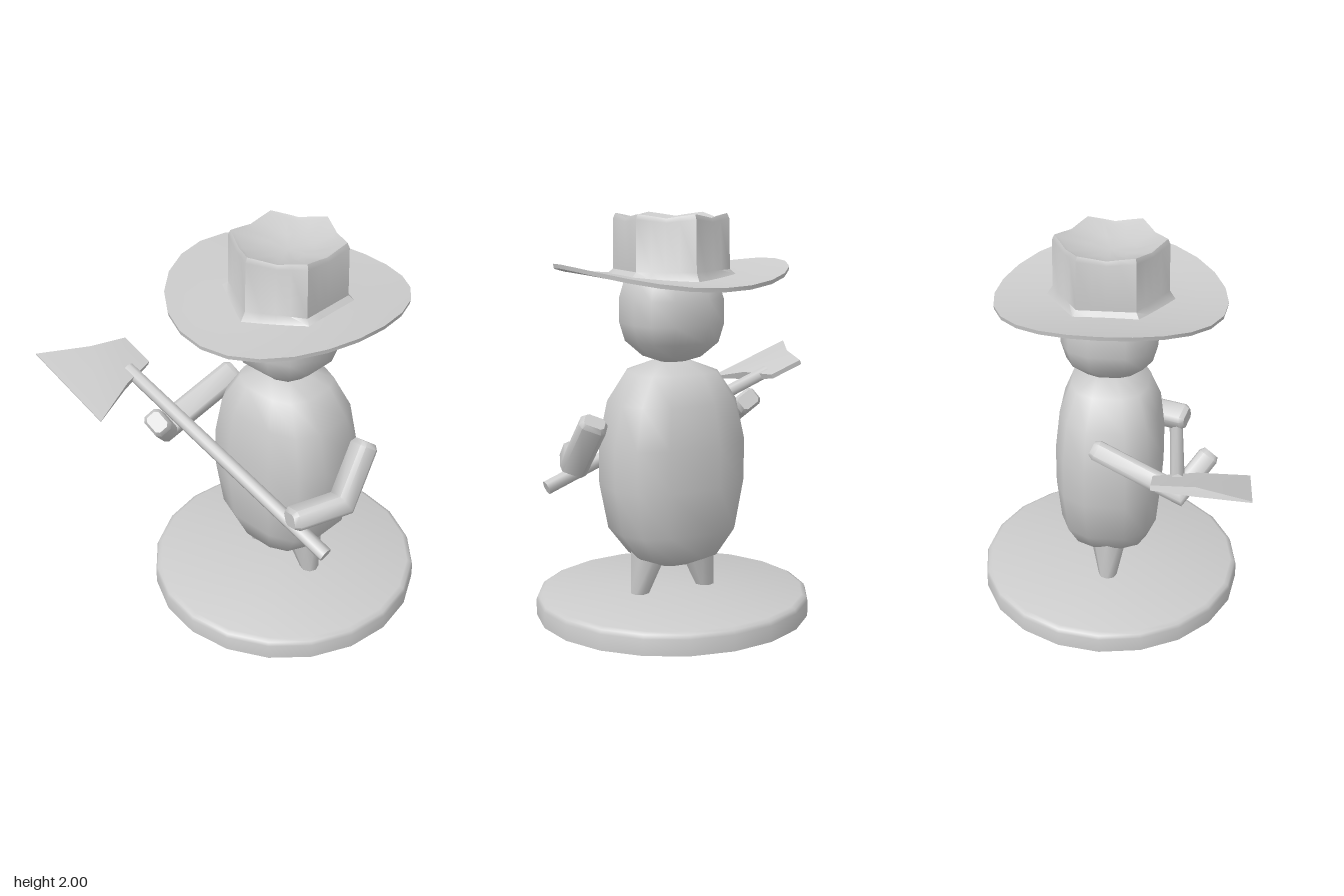
import * as THREE from 'three';
import { toCreasedNormals } from 'three/addons/utils/BufferGeometryUtils.js';

const V = (x, y, z) => new THREE.Vector3(x, y, z);
const solid = new THREE.MeshStandardMaterial({ color: 0xcccccc });
const shell = new THREE.MeshStandardMaterial({ color: 0xcccccc, side: THREE.DoubleSide });
const CX = 0.172, CZ = -0.015;

function add(parent, name, geometry, material = solid) {
  const mesh = new THREE.Mesh(geometry, material);
  mesh.name = name;
  parent.add(mesh);
  return mesh;
}

// Skin a stack of rings; start and end are optional cap centres
function loft(rings, start, end, crease) {
  const n = rings[0].length, pts = rings.flat(), index = [];
  for (let i = 0; i < rings.length - 1; i++) {
    for (let j = 0; j < n; j++) {
      const a = i * n + j, b = i * n + (j + 1) % n;
      index.push(a, a + n, b + n, a, b + n, b);
    }
  }
  const last = (rings.length - 1) * n;
  if (start) {
    const c = pts.push(start) - 1;
    for (let j = 0; j < n; j++) index.push(c, j, (j + 1) % n);
  }
  if (end) {
    const c = pts.push(end) - 1;
    for (let j = 0; j < n; j++) index.push(c, last + (j + 1) % n, last + j);
  }
  const g = new THREE.BufferGeometry().setFromPoints(pts);
  g.setIndex(index);
  g.computeVertexNormals();
  return toCreasedNormals(g, crease);
}

// Softened square outline for body and head, 12 points
const softSquare = [];
for (let q = 0; q < 4; q++) {
  const c = [1, 0, -1, 0][q], s = [0, 1, 0, -1][q];
  for (const [x, z] of [[1, -0.38], [1, 0.38], [0.8, 0.8]]) softSquare.push([x * c - z * s, x * s + z * c]);
}

// Rounded blob from [y, half width, half depth] levels
function blob(levels) {
  const rings = levels.map(([y, rx, rz]) => softSquare.map(([x, z]) => V(x * rx, y, z * rz)));
  return loft(rings, V(0, levels[0][0], 0), V(0, levels.at(-1)[0], 0), 1.0);
}

// Straight tapered stick between two points
function stick(a, b, ra, rb, sides) {
  const g = new THREE.CylinderGeometry(rb, ra, a.distanceTo(b), sides);
  g.applyQuaternion(new THREE.Quaternion().setFromUnitVectors(V(0, 1, 0), b.clone().sub(a).normalize()));
  const m = a.clone().add(b).multiplyScalar(0.5);
  g.translate(m.x, m.y, m.z);
  return toCreasedNormals(g, 1.1);
}

// Bent arm with a bevelled box section, mitred at the elbow
function arm(shoulder, elbow, hand, w, t) {
  const d1 = elbow.clone().sub(shoulder).normalize(), d2 = hand.clone().sub(elbow).normalize();
  const n = d1.clone().cross(d2).normalize();
  const mid = d1.clone().add(d2).normalize();
  const miter = 1 / mid.dot(d1);
  const section = (p, d, k, m = 1) => {
    const v = n.clone().cross(d);
    return [[1, -0.6], [1, 0.6], [0.7, 1], [-0.7, 1], [-1, 0.6], [-1, -0.6], [-0.7, -1], [0.7, -1]].map(
      ([a, b]) => p.clone().addScaledVector(n, a * w * k).addScaledVector(v, b * t * k * m));
  };
  const s = shoulder.clone().addScaledVector(d1, 0.025), h = hand.clone().addScaledVector(d2, -0.025);
  return loft([section(shoulder, d1, 0.75), section(s, d1, 1), section(elbow, mid, 1, miter),
    section(h, d2, 1), section(hand, d2, 0.75)], shoulder, hand, 0.85);
}

// Hat: curled round brim flowing into an open hexagonal crown with a dished top
function hatGeometry() {
  const N = 24;
  const ring = (r, y, hex, curl, dip = 0) => Array.from({ length: N }, (_, j) => {
    const a = j / N * Math.PI * 2;
    const off = ((a + Math.PI / 6) % (Math.PI / 3)) - Math.PI / 6; // angle from a face centre
    const k = hex ? r * Math.cos(Math.PI / 6) / Math.cos(off) : r;
    const x = Math.cos(a) * k, z = Math.sin(a) * k;
    return V(x, y + curl * (0.19 * x * x - 0.08 * z * z) - dip * (1 - Math.abs(off) * 6 / Math.PI), z);
  });
  return loft([
    ring(0.27, 1.672, true, 1), ring(0.42, 1.675, false, 1), ring(0.572, 1.685, false, 1),
    ring(0.575, 1.705, false, 1), ring(0.42, 1.695, false, 1), ring(0.315, 1.695, true, 1),
    ring(0.287, 1.73, true, 0), ring(0.283, 1.975, true, 0, 0.015), ring(0.272, 2.0, true, 0, 0.02),
    ring(0.25, 1.99, true, 0, 0.02), ring(0.13, 1.95, true, 0),
  ], null, V(0, 1.935, 0), 0.7);
}

export function createModel() {
  const model = new THREE.Group();
  model.name = 'standingFigure';
  const core = new THREE.Group();
  core.name = 'figureCore';
  core.position.set(CX, 0, CZ);
  model.add(core);

  // Hollow round stand
  const profile = [[0.69, 0], [0.69, 0.08], [0.682, 0.1], [0.66, 0.11], [0, 0.11]];
  const stand = new THREE.LatheGeometry(profile.map(([x, y]) => new THREE.Vector2(x, y)), 20);
  add(core, 'stand', toCreasedNormals(stand, 0.9), shell);

  // Legs
  for (const side of [-1, 1]) {
    add(core, side > 0 ? 'leftLeg' : 'rightLeg',
      stick(V(side * 0.186, 0.1, 0), V(side * 0.125, 0.36, 0), 0.046, 0.105, 8));
  }

  // Body and head
  add(core, 'body', blob([[0.25, 0.09, 0.085], [0.305, 0.21, 0.2], [0.44, 0.31, 0.25], [0.67, 0.352, 0.272],
    [0.88, 0.352, 0.272], [1.085, 0.308, 0.25], [1.23, 0.215, 0.195], [1.28, 0.09, 0.08]]));
  add(core, 'head', blob([[1.28, 0.065, 0.065], [1.305, 0.135, 0.135], [1.38, 0.215, 0.215], [1.47, 0.24, 0.24],
    [1.59, 0.24, 0.24], [1.68, 0.215, 0.215], [1.755, 0.135, 0.135], [1.78, 0.065, 0.065]]));
  add(core, 'hat', hatGeometry(), shell);

  // Arms
  add(model, 'leftArm', arm(V(0.615, 1.02, -0.1), V(0.645, 0.775, 0.1), V(0.55, 0.775, 0.37), 0.068, 0.05));
  add(model, 'rightArm', arm(V(-0.23, 1.06, -0.07), V(-0.315, 0.88, 0.36), V(-0.2, 1.05, 0.51), 0.065, 0.05));

  // Axe: shaft and flared head lying along it
  const axe = new THREE.Group();
  axe.name = 'axe';
  model.add(axe);
  add(axe, 'shaft', stick(V(0.725, 0.62, 0.305), V(-0.57, 1.125, 0.362), 0.037, 0.034, 8));
  const c = Math.cos(-0.37), s = Math.sin(-0.37);
  const blade = [[0.245, -0.63, 0.095, 0.012], [0.45, -0.622, 0.145, 0.022], [0.7, -0.632, 0.253, 0.003]];
  const rings = blade.map(([z, x, l, t]) => [[1, -1], [1, 1], [-1, 1], [-1, -1]].map(
    ([a, b]) => V(x + a * l * c + b * t * s, 1.148 + a * l * s - b * t * c, z)));
  add(axe, 'axeHead', loft(rings, V(-0.63, 1.148, 0.245), V(-0.632, 1.148, 0.7), 0.5));

  return model;
}
